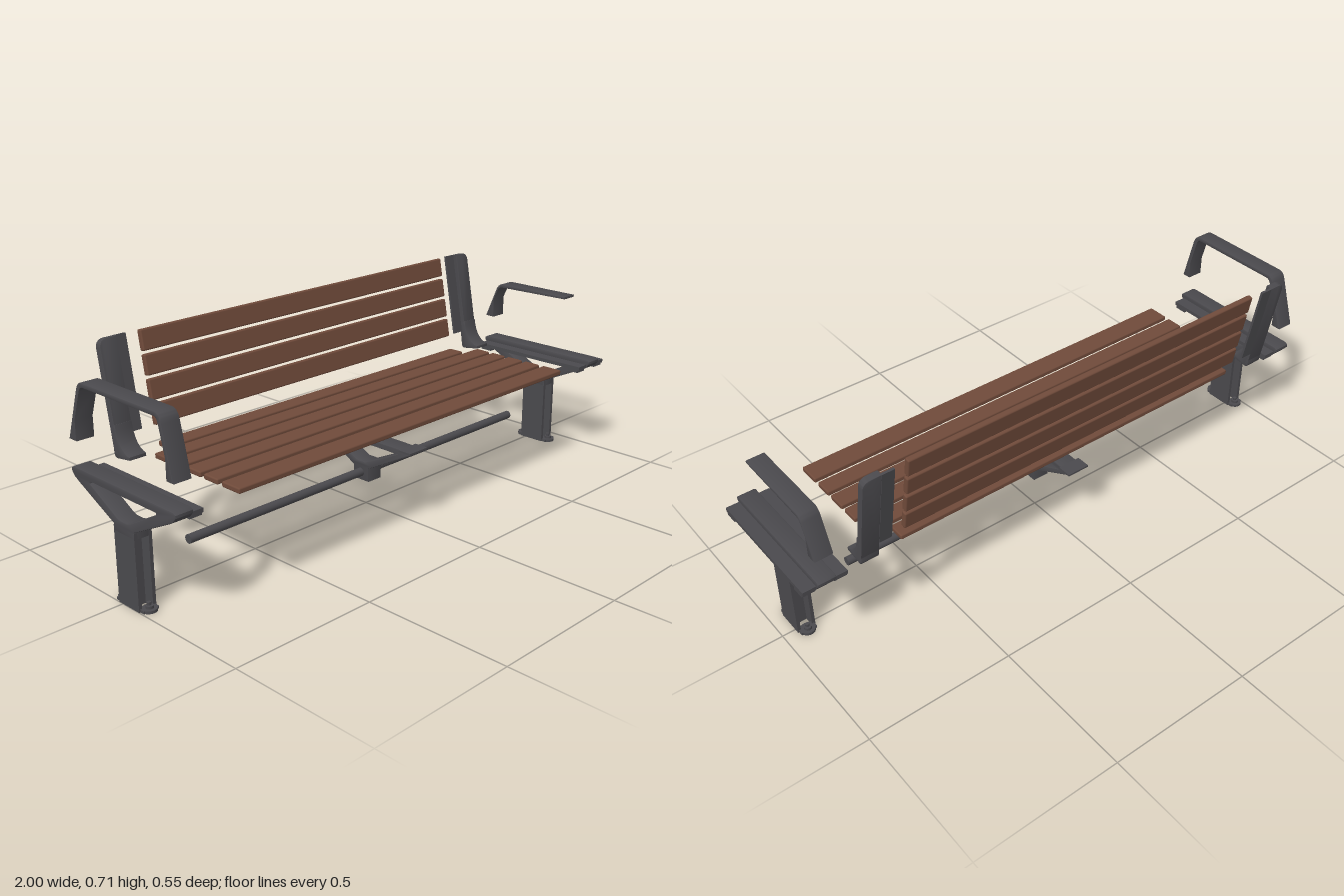
import * as THREE from 'three';
import { toCreasedNormals } from 'three/addons/utils/BufferGeometryUtils.js';
import { RoundedBoxGeometry } from 'three/addons/geometries/RoundedBoxGeometry.js';

const CZ = 0.03; // centre line of the legs in z
const TILT = -0.182; // lean of the backrest

export function createModel() {
  const wood = new THREE.MeshStandardMaterial({ color: 0x6f4a3a });
  wood.name = 'wood';
  const metal = new THREE.MeshStandardMaterial({ color: 0x4a494d });
  metal.name = 'darkMetal';
  const model = new THREE.Group();
  model.name = 'explodedBench';

  const group = (name, parent = model) => {
    const g = new THREE.Group();
    g.name = name;
    parent.add(g);
    return g;
  };
  const add = (name, geo, mat, parent) => {
    const m = new THREE.Mesh(geo, mat);
    m.name = name;
    parent.add(m);
    return m;
  };
  // Box given by its extents
  const box = (name, [x0, x1], [y0, y1], [z0, z1], parent, mat = metal) => {
    const m = add(name, new THREE.BoxGeometry(x1 - x0, y1 - y0, z1 - z0), mat, parent);
    m.position.set((x0 + x1) / 2, (y0 + y1) / 2, (z0 + z1) / 2);
    return m;
  };
  // Side profile in (z, y), extruded from x0 to x1 with softened edges
  const profile = (name, shape, x0, x1, parent, bevel = 0.003) => {
    const geo = new THREE.ExtrudeGeometry(shape, {
      depth: x1 - x0 - 2 * bevel, bevelEnabled: true, bevelThickness: bevel,
      bevelSize: bevel, bevelOffset: -bevel, bevelSegments: 2, curveSegments: 8,
    });
    geo.rotateY(-Math.PI / 2).translate(x1 - bevel, 0, 0);
    return add(name, toCreasedNormals(geo, 0.6), metal, parent);
  };
  const points = (list) => list.map(([a, b]) => new THREE.Vector2(a, b));
  // Half outline plus its mirror image about the leg centre
  const mirrored = (half) => points([
    ...half.map(([d, y]) => [CZ + d, y]),
    ...half.slice().reverse().map(([d, y]) => [CZ - d, y]),
  ]);
  const slat = (name, x0, x1, y, z, h, d, parent) => {
    const m = add(name, new RoundedBoxGeometry(x1 - x0, h, d, 2, 0.005), wood, parent);
    m.position.set((x0 + x1) / 2, y, z);
  };

  // Seat slats, the rear one shorter to fit between the uprights
  const seat = group('seat');
  [[-0.12, -0.06], [-0.045, 0.015], [0.03, 0.095], [0.11, 0.172], [0.19, 0.267]].forEach(([a, b]) =>
    slat('seatSlat', -0.775, 0.728, 0.36, (a + b) / 2, 0.018, b - a, seat));
  slat('rearSeatSlat', -0.705, 0.66, 0.36, -0.165, 0.018, 0.06, seat);

  // Leaning back slats
  const back = group('backrest');
  back.position.set(0, 0.474, -0.22);
  back.rotation.x = TILT;
  for (let i = 0; i < 4; i++) {
    slat('backSlat', -0.705, 0.66, -0.027 + i * 0.0763, 0, 0.066, 0.02, back);
  }

  // Back uprights: panel with rounded outer corner, slat flange and curved foot
  const upright = (name, x, side) => {
    const g = group(name);
    const lean = group('leaningPanel', g);
    lean.position.copy(back.position);
    lean.rotation.copy(back.rotation);
    const s = new THREE.Shape();
    const w = 0.062, top = 0.235, r = 0.03;
    s.moveTo(0, -0.11);
    s.lineTo(side * w, -0.11);
    s.lineTo(side * w, top - r);
    s.quadraticCurveTo(side * w, top, side * (w - r), top);
    s.lineTo(0, top);
    const geo = new THREE.ExtrudeGeometry(s, {
      depth: 0.018, bevelThickness: 0.003, bevelSize: 0.003, bevelOffset: -0.003, bevelSegments: 2,
    }).translate(x, 0, -0.009);
    add('panel', toCreasedNormals(geo, 0.6), metal, lean);
    const inner = x - side * 0.043;
    box('slatFlange', [Math.min(x, inner), Math.max(x, inner)], [-0.06, top], [-0.012, -0.004], lean);
    const foot = new THREE.Shape();
    foot.moveTo(-0.137, 0.37);
    foot.quadraticCurveTo(-0.19, 0.378, -0.201, 0.455);
    foot.lineTo(-0.222, 0.45);
    foot.lineTo(-0.214, 0.37);
    foot.quadraticCurveTo(-0.214, 0.352, -0.2, 0.351);
    foot.lineTo(-0.137, 0.36);
    const outer = x + side * w;
    profile('foot', foot, Math.min(x, outer), Math.max(x, outer), g);
  };
  upright('rightUpright', -0.791, -1);
  upright('leftUpright', 0.748, 1);

  // Legs: open post, bolted feet, forked head and slat ledges
  const leg = (name, x0, x1, ledges) => {
    const g = group(name);
    const t = 0.011, mid = (x0 + x1) / 2;
    [[x0, x0 + t], [x1 - t, x1]].forEach((xs) =>
      box('postSide', xs, [0, 0.245], [CZ - 0.048, CZ + 0.048], g));
    box('postWeb', [x0 + t, x1 - t], [0, 0.245], [CZ - 0.012, CZ + 0.012], g);
    [-1, 1].forEach((s) => {
      const a = CZ + s * 0.035, b = CZ + s * 0.065;
      box('footPlate', [x0 + 0.004, x1 - 0.004], [0, 0.009], [Math.min(a, b), Math.max(a, b)], g);
      const round = add('footEnd', new THREE.CylinderGeometry(0.024, 0.024, 0.009, 20), metal, g);
      round.position.set(mid, 0.0045, CZ + s * 0.056);
      const washer = add('washer', new THREE.CylinderGeometry(0.012, 0.012, 0.01, 16), metal, g);
      washer.position.set(mid, 0.013, CZ + s * 0.057);
      const nut = add('nut', new THREE.CylinderGeometry(0.007, 0.007, 0.01, 6), metal, g);
      nut.position.set(mid, 0.022, CZ + s * 0.055);
    });
    const fork = new THREE.Shape(mirrored([
      [0.048, 0.225], [0.048, 0.248], [0.21, 0.326], [0.232, 0.338], [0.244, 0.353], [0.244, 0.362], [0.234, 0.368],
    ]));
    fork.holes.push(new THREE.Path(mirrored([
      [0.014, 0.265], [0.03, 0.269], [0.156, 0.336], [0.156, 0.343],
    ])));
    profile('forkedHead', fork, x0, x1, g);
    ledges.forEach(([a, b]) => {
      box('slatLedge', [a, b], [0.337, 0.35], [CZ - 0.232, CZ + 0.232], g);
      [-1, 1].forEach((s) => box('ledgeEnd', [a, b], [0.327, 0.338],
        [CZ + s * 0.203 - 0.022, CZ + s * 0.203 + 0.022], g));
    });
  };
  leg('rightLeg', -1, -0.94, [[-0.94, -0.897]]);
  leg('leftLeg', 0.893, 0.955, [[0.85, 0.893], [0.955, 1]]);

  // Full armrest: an arch with flared feet
  const arch = new THREE.Shape();
  arch.moveTo(0.273, 0.451);
  arch.lineTo(0.235, 0.608);
  arch.quadraticCurveTo(0.228, 0.637, 0.203, 0.637);
  arch.lineTo(-0.13, 0.637);
  arch.quadraticCurveTo(-0.149, 0.637, -0.158, 0.612);
  arch.lineTo(-0.213, 0.451);
  arch.lineTo(-0.177, 0.451);
  arch.lineTo(-0.177, 0.515);
  arch.lineTo(-0.145, 0.605);
  arch.quadraticCurveTo(-0.138, 0.623, -0.125, 0.623);
  arch.lineTo(0.2, 0.623);
  arch.quadraticCurveTo(0.214, 0.623, 0.219, 0.605);
  arch.lineTo(0.242, 0.515);
  arch.lineTo(0.242, 0.451);
  profile('rightArmrest', arch, -1, -0.938, group('rightArm'));

  // Half armrest: cantilevered, tapering to the front
  const half = new THREE.Shape();
  half.moveTo(0.15, 0.586);
  half.lineTo(-0.14, 0.586);
  half.quadraticCurveTo(-0.159, 0.584, -0.168, 0.56);
  half.lineTo(-0.213, 0.451);
  half.lineTo(-0.177, 0.451);
  half.lineTo(-0.177, 0.521);
  half.lineTo(-0.158, 0.562);
  half.quadraticCurveTo(-0.152, 0.573, -0.138, 0.573);
  half.lineTo(0.15, 0.578);
  profile('leftArmrest', half, 0.892, 0.955, group('leftArm'));

  // Long stretcher tube
  const stretcher = new THREE.CylinderGeometry(0.0145, 0.0145, 1.515, 24).rotateZ(Math.PI / 2);
  add('stretcherTube', stretcher, metal, model).position.set(-0.0225, 0.139, CZ);

  // Central seat bracket around the tube
  const bracket = group('centreBracket');
  const tri = new THREE.Shape(mirrored([
    [0.034, 0.111], [0.034, 0.158], [0.047, 0.165], [0.222, 0.256], [0.228, 0.265],
  ]));
  tri.holes.push(new THREE.Path(mirrored([
    [0.02, 0.178], [0.047, 0.191], [0.165, 0.246],
  ])));
  profile('bracketFrame', tri, -0.056, 0.007, bracket);
  [-1, 1].forEach((s) => box('bracketEar', [-0.066, 0.016], [0.262, 0.268],
    [CZ + s * 0.205 - 0.025, CZ + s * 0.205 + 0.025], bracket));

  return model;
}
